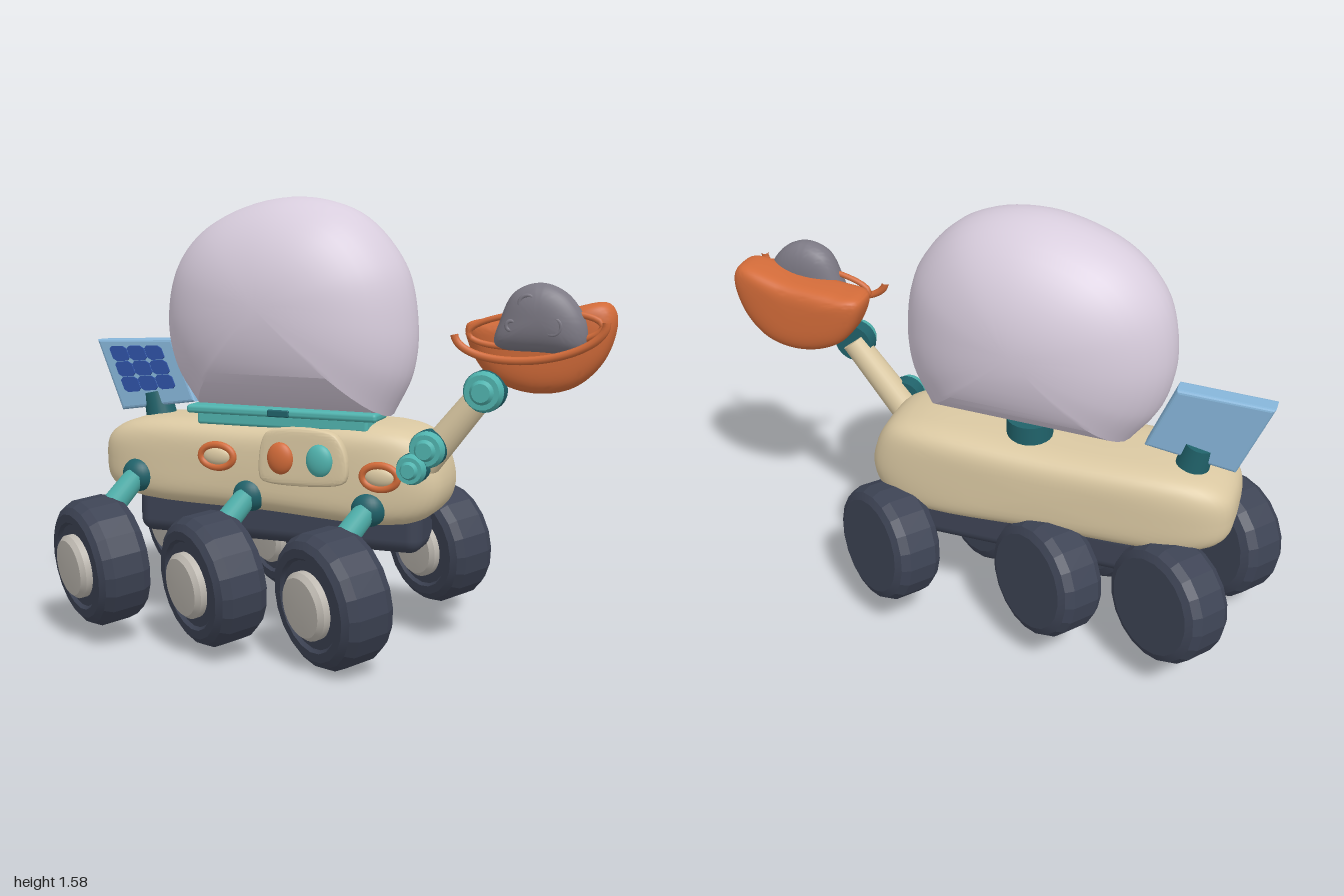
import * as THREE from 'three';
import { toCreasedNormals } from 'three/addons/utils/BufferGeometryUtils.js';
import { RoundedBoxGeometry } from 'three/addons/geometries/RoundedBoxGeometry.js';

const mat = (name, color) => {
  const m = new THREE.MeshStandardMaterial({ color });
  m.name = name;
  return m;
};
const V = (x, y, z = 0) => new THREE.Vector3(x, y, z);
const UP = V(0, 1, 0);

// Puffed solid: an outline in XY, scaled through rings in z (power < 1 is boxier)
function inflate(points, depth, power = 1, closed = true, rings = 24) {
  const curve = new THREE.CatmullRomCurve3(points.map(([x, y]) => V(x, y)), closed);
  let line = curve.getPoints(72);
  if (closed) line.pop();
  if (THREE.ShapeUtils.area(line) < 0) line.reverse();
  const c = new THREE.Box3().setFromPoints(line).getCenter(V(0, 0));
  const n = line.length, pos = [], idx = [];
  for (let j = 0; j <= rings; j++) {
    const a = (j / rings - 0.5) * Math.PI;
    const s = Math.pow(Math.max(Math.cos(a), 0), power);
    const z = Math.sign(a) * Math.pow(Math.abs(Math.sin(a)), power) * depth;
    for (const p of line) pos.push((p.x - c.x) * s, (p.y - c.y) * s, z);
  }
  for (let j = 0; j < rings; j++) for (let i = 0; i < n; i++) {
    const k = (i + 1) % n, a = j * n + i, b = j * n + k;
    idx.push(a, b, b + n, a, b + n, a + n);
  }
  const g = new THREE.BufferGeometry();
  g.setAttribute('position', new THREE.Float32BufferAttribute(pos, 3));
  g.setIndex(idx);
  return { geo: toCreasedNormals(g, 0.5), c };
}

export function createModel() {
  const root = new THREE.Group();
  root.name = 'rover';
  const tan = mat('tan', 0xdac8a2), navy = mat('navy', 0x3d4354), glass = mat('lilac', 0xd8cddd);
  const hubGrey = mat('hub grey', 0xbdb8b0), teal = mat('teal', 0x50b3ae), darkTeal = mat('dark teal', 0x20626a);
  const orange = mat('orange', 0xd26b39), sky = mat('light blue', 0x86b5d9), cellBlue = mat('cell blue', 0x2f52a5);
  const stone = mat('stone grey', 0x7c7984);

  const add = (name, geo, material, x = 0, y = 0, z = 0, parent = root) => {
    const m = new THREE.Mesh(geo, material);
    m.name = name;
    m.position.set(x, y, z);
    parent.add(m);
    return m;
  };
  const puff = (name, pts, depth, power, material, z, closed = true) => {
    const { geo, c } = inflate(pts, depth, power, closed);
    return add(name, geo, material, c.x, c.y, z);
  };
  const rod = (name, a, b, r, material, r2 = r) => {
    const d = b.clone().sub(a);
    const m = add(name, new THREE.CylinderGeometry(r2, r, d.length(), 24), material);
    m.position.copy(a).addScaledVector(d, 0.5);
    m.quaternion.setFromUnitVectors(UP, d.normalize());
    return m;
  };
  const lathe = (pts, seg) => new THREE.LatheGeometry(pts.map(([r, h]) => new THREE.Vector2(r, h)), seg);
  // Tube along part of an ellipse facing the front
  const ellipseTube = (name, x, y, z, rx, ry, r, material, from = 0, to = 2 * Math.PI, tilt = 0) => {
    const pts = new THREE.EllipseCurve(0, 0, rx, ry, from, to, false, tilt).getPoints(40).map(p => V(p.x, p.y));
    const full = to - from > 6.2;
    if (full) pts.pop();
    return add(name, new THREE.TubeGeometry(new THREE.CatmullRomCurve3(pts, full), 48, r, 8, full), material, x, y, z);
  };
  const ball = (name, x, y, z, sx, sy, sz, material) => {
    const m = add(name, new THREE.SphereGeometry(1, 28, 18), material, x, y, z);
    m.scale.set(sx, sy, sz);
    return m;
  };

  // Body and chassis
  puff('body', [[-.855, .64], [-.84, .73], [-.74, .79], [-.2, .81], [.3, .81], [.39, .76], [.44, .62],
    [.41, .53], [.32, .48], [-.2, .49], [-.76, .52], [-.84, .57]], 0.2, 0.45, tan, -0.05);
  add('chassis', new RoundedBoxGeometry(1.1, 0.18, 0.22, 4, 0.05), navy, -0.2, 0.45, -0.09);

  // Dome with its collar and latch
  puff('dome', [[.24, .845], [.31, .99], [.325, 1.15], [.28, 1.36], [.12, 1.535], [-.13, 1.59], [-.42, 1.505],
    [-.56, 1.36], [-.605, 1.15], [-.57, .98], [-.48, .845]], 0.29, 1, glass, -0.02, false).rotation.y = -0.05;
  add('collarRim', new RoundedBoxGeometry(0.71, 0.03, 0.13, 3, 0.012), teal, -0.13, 0.85, 0.06);
  add('collarBase', new RoundedBoxGeometry(0.64, 0.05, 0.1, 3, 0.012), teal, -0.13, 0.82, 0.06);
  add('latch', new RoundedBoxGeometry(0.08, 0.025, 0.012, 2, 0.005), darkTeal, -0.13, 0.85, 0.125);
  add('backLatch', new THREE.CylinderGeometry(0.08, 0.08, 0.08, 24), darkTeal, -0.13, 0.835, -0.09);

  // Wheels, all turned the same way with the hub in front
  const tyreGeo = toCreasedNormals(lathe([[0, -.1], [.185, -.1], [.213, -.087], [.23, -.055], [.23, .055],
    [.213, .085], [.19, .1], [.16, .1], [.15, .088], [0, .088]], 20), 0.25);
  const hubGeo = toCreasedNormals(lathe([[.115, .08], [.115, .112], [.1, .128], [0, .134]], 32), 0.6);
  const axis = V(-0.56, -0.1, 0.82).normalize();
  const wheel = (name, x, y, z, s) => {
    const g = new THREE.Group();
    g.name = name;
    g.position.set(x, y, z);
    g.quaternion.setFromUnitVectors(UP, axis);
    g.scale.setScalar(s);
    add('tyre', tyreGeo, navy, 0, 0, 0, g);
    add('hub', hubGeo, hubGrey, 0, 0, 0, g);
    root.add(g);
  };
  [[-.78, .3, 1], [-.335, .275, 1.01], [.11, .25, 1.03]].forEach(([x, y, s]) => wheel('frontWheel', x, y, .235, s));
  [[-.68, .355], [-.25, .35], [.34, .355]].forEach(([x, y]) => wheel('backWheel', x, y, -.255, 0.93));

  // Legs of the front wheels
  for (const [x, y] of [[-.68, .6], [-.24, .56], [.2, .54]]) {
    ball('legJoint', x, y, 0.12, 0.062, 0.062, 0.055, darkTeal);
    rod('leg', V(x, y, 0.14), V(x - 0.09, y - 0.14, 0.22), 0.04, teal, 0.045);
  }

  // Control plate with buttons, and side lamps
  puff('controlPlate', [[-.18, .63], [-.17, .77], [-.14, .8], [.08, .8], [.115, .77], [.138, .7], [.13, .635],
    [.1, .62], [-.15, .615]], 0.025, 0.3, tan, 0.155);
  ball('orangeButton', -0.1, 0.705, 0.178, 0.048, 0.056, 0.025, orange);
  ball('tealButton', 0.043, 0.705, 0.178, 0.048, 0.056, 0.025, teal);
  for (const [x, y] of [[-.35, .693], [.25, .658]]) {
    ellipseTube('lampRing', x, y, 0.155, 0.062, 0.04, 0.013, orange);
    ball('lamp', x, y, 0.15, 0.056, 0.034, 0.02, tan);
  }

  // Solar panel on its post
  const corners = [[-.925, 1.06], [-.63, 1.07], [-.545, .86], [-.83, .82]];
  const quad = (p, depth, bevel) => new THREE.ExtrudeGeometry(
    new THREE.Shape(p.map(([x, y]) => new THREE.Vector2(x, y))),
    { depth, bevelEnabled: bevel > 0, bevelSize: bevel, bevelThickness: bevel, bevelSegments: 3 });
  const at = (u, v) => [0, 1].map(k => (1 - v) * ((1 - u) * corners[0][k] + u * corners[1][k])
    + v * ((1 - u) * corners[3][k] + u * corners[2][k]));
  add('solarPanel', quad(corners, 0.045, 0.012), sky, 0, 0, -0.095);
  for (let i = 0; i < 3; i++) for (let j = 0; j < 3; j++) {
    const u = 0.23 + i * 0.25, v = 0.18 + j * 0.245, h = 0.118, k = 0.075;
    const cell = [[-k, -h], [k, -h], [h, -k], [h, k], [k, h], [-k, h], [-h, k], [-h, -k]];
    add('solarCell', quad(cell.map(([a, b]) => at(u + a, v + b)), 0.006, 0), cellBlue, 0, 0, -0.038);
  }
  rod('panelPost', V(-0.685, 0.76, -0.08), V(-0.71, 0.88, -0.08), 0.06, darkTeal, 0.05);

  // Arm with ridged joints
  rod('arm', V(0.36, 0.68, 0.05), V(0.585, 0.96, 0.06), 0.055, tan, 0.045);
  ball('armEnd', 0.36, 0.68, 0.05, 0.055, 0.055, 0.055, tan);
  const joint = (x, y, z, r) => {
    rod('jointBack', V(x, y, z - 0.05), V(x, y, z), r * 1.02, darkTeal);
    rod('jointFront', V(x, y, z), V(x, y, z + 0.03), r, teal, r * 0.85);
    rod('jointCap', V(x, y, z + 0.03), V(x, y, z + 0.045), r * 0.6, teal, r * 0.45);
  };
  joint(0.355, 0.69, 0.14, 0.052);
  joint(0.4, 0.755, 0.11, 0.062);
  joint(0.585, 0.955, 0.1, 0.068);

  // Scoop: bowl, inner rim and front lip
  puff('bowl', [[.51, 1.17], [.6, 1.19], [.78, 1.21], [.96, 1.245], [.99, 1.2], [.96, 1.07], [.87, .975],
    [.73, .95], [.59, 1.0], [.52, 1.1]], 0.09, 0.5, orange, 0.01);
  ellipseTube('innerRim', 0.745, 1.16, 0.1, 0.215, 0.055, 0.01, orange, 0, 2 * Math.PI, 0.08);
  ellipseTube('frontLip', 0.745, 1.17, 0.185, 0.24, 0.1, 0.013, orange, Math.PI, 2 * Math.PI, 0.1);

  // Rock with craters
  puff('rock', [[.62, 1.11], [.635, 1.19], [.68, 1.28], [.765, 1.31], [.85, 1.275], [.91, 1.18], [.9, 1.1],
    [.76, 1.09]], 0.065, 0.85, stone, 0.095);
  for (const [x, y, r, z] of [[.73, 1.245, .026, .143], [.812, 1.175, .026, .15], [.68, 1.175, .015, .146]]) {
    add('crater', new THREE.TorusGeometry(r, 0.007, 8, 20), stone, x, y, z);
  }
  return root;
}
